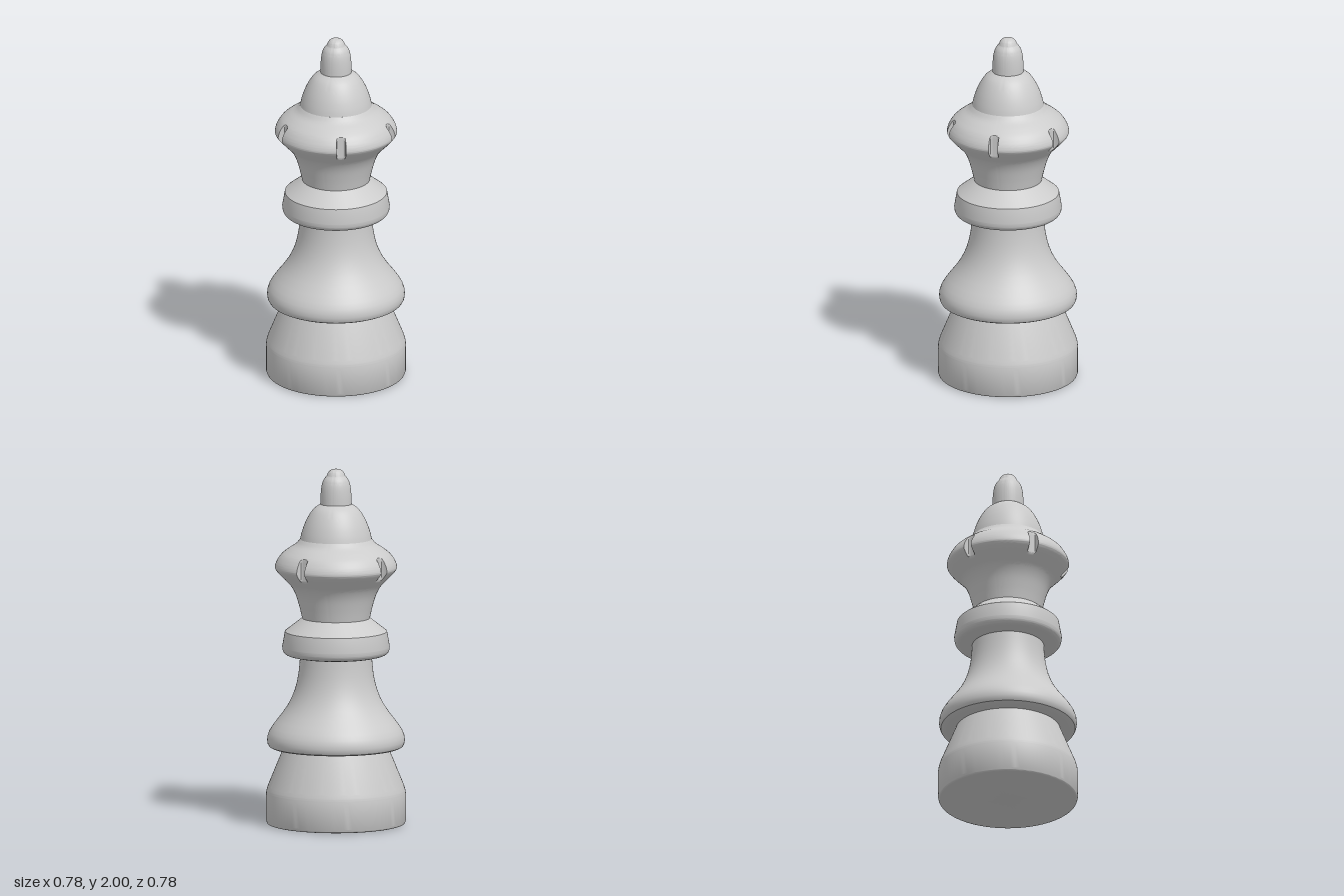
import * as THREE from 'three';
import { toCreasedNormals } from 'three/addons/utils/BufferGeometryUtils.js';

const material = new THREE.MeshStandardMaterial({ color: 0xcccccc, roughness: 0.6 });

// Joins smooth curves, each given as [radius, height] points; curves meet at sharp edges
function profile(steps, ...curves) {
  const out = [];
  for (const c of curves) {
    const pts = c.map(([r, y]) => new THREE.Vector2(r, y));
    const smooth = pts.length > 2 ? new THREE.SplineCurve(pts).getPoints(steps) : pts;
    out.push(...(out.length ? smooth.slice(1) : smooth));
  }
  for (const p of out) p.x = Math.max(0, p.x);
  return out;
}

function part(name, geometry) {
  const mesh = new THREE.Mesh(toCreasedNormals(geometry, 0.55), material);
  mesh.name = name;
  return mesh;
}

const turned = (name, ...curves) => part(name, new THREE.LatheGeometry(profile(16, ...curves), 96));

// Turned head with upright slots cut in its rim at the given angles
function slottedHead(points, degrees) {
  const halfWidth = 0.026, floorRadius = 0.3, fillet = 0.014;
  const angles = degrees.map(THREE.MathUtils.degToRad);
  const columns = []; // each maps a profile radius to [angle, radial, lateral]
  angles.forEach((angle, k) => {
    // slot floor with rounded corners
    for (let i = 0; i <= 12; i++) {
      const t = halfWidth * (i / 6 - 1);
      const e = Math.max(0, Math.abs(t) - (halfWidth - fillet));
      const floor = floorRadius + fillet - Math.sqrt(Math.max(0, fillet * fillet - e * e));
      columns.push(R => [angle, Math.min(Math.sqrt(R * R - t * t), floor), t]);
    }
    // plain rim up to the next slot
    const next = k + 1 < angles.length ? angles[k + 1] : angles[0] + Math.PI * 2;
    for (let i = 0; i <= 20; i++) {
      columns.push(R => {
        const edge = Math.asin(halfWidth / R);
        return [angle + edge + (next - angle - 2 * edge) * i / 20, R, 0];
      });
    }
  });

  const positions = [], index = [], n = columns.length;
  points.forEach(({ x: R, y }, j) => {
    columns.forEach((column, i) => {
      const [a, radial, t] = column(R);
      positions.push(radial * Math.cos(a) - t * Math.sin(a), y, -radial * Math.sin(a) - t * Math.cos(a));
      if (j + 1 < points.length) {
        const p = j * n + i, q = j * n + (i + 1) % n;
        index.push(p, q, q + n, p, q + n, p + n);
      }
    });
  });
  const geometry = new THREE.BufferGeometry();
  geometry.setAttribute('position', new THREE.Float32BufferAttribute(positions, 3));
  geometry.setIndex(index);
  return part('slottedHead', geometry);
}

export function createModel() {
  const group = new THREE.Group();
  group.name = 'chessQueen';

  group.add(
    // foot: rounded lower edge, straight band, tapered shoulder
    turned('base',
      [[0, 0], [0.37, 0]],
      [[0.37, 0], [0.384, 0.005], [0.39, 0.02]],
      [[0.39, 0.02], [0.39, 0.17]],
      [[0.39, 0.17], [0.387, 0.19], [0.38, 0.215]],
      [[0.38, 0.215], [0.29, 0.435]]),
    // flared skirt sweeping up into the stem
    turned('skirtAndStem',
      [[0.28, 0.43], [0.345, 0.43]],
      [[0.345, 0.43], [0.37, 0.436], [0.382, 0.455], [0.383, 0.49], [0.368, 0.53], [0.333, 0.58],
        [0.28, 0.65], [0.243, 0.72], [0.22, 0.79], [0.206, 0.87], [0.2, 0.96]]),
    // ring around the stem
    turned('collar',
      [[0.19, 0.945], [0.25, 0.948]],
      [[0.25, 0.948], [0.28, 0.957], [0.296, 0.975], [0.3, 1.0]],
      [[0.3, 1.0], [0.285, 1.085]],
      [[0.285, 1.085], [0.185, 1.163]]),
    // neck and wide rim with five unevenly spaced slots
    slottedHead(profile(64,
      [[0.188, 1.155], [0.203, 1.22], [0.224, 1.29], [0.25, 1.34], [0.28, 1.373], [0.315, 1.408],
        [0.337, 1.435], [0.34, 1.452], [0.33, 1.482], [0.305, 1.518], [0.268, 1.548], [0.225, 1.577], [0.2, 1.605]]),
      [0, 66.5, 154.5, 222, 294]),
    // dome
    turned('dome',
      [[0.2, 1.605], [0.192, 1.64], [0.175, 1.69], [0.15, 1.74], [0.122, 1.777], [0.085, 1.803]],
      [[0.085, 1.803], [0, 1.805]]),
    // finial with a small round tip
    turned('finial',
      [[0.087, 1.797], [0.086, 1.85], [0.081, 1.9], [0.07, 1.937], [0.051, 1.962]],
      [[0.051, 1.962], [0.043, 1.98], [0.026, 1.995], [0, 2]])
  );
  return group;
}
